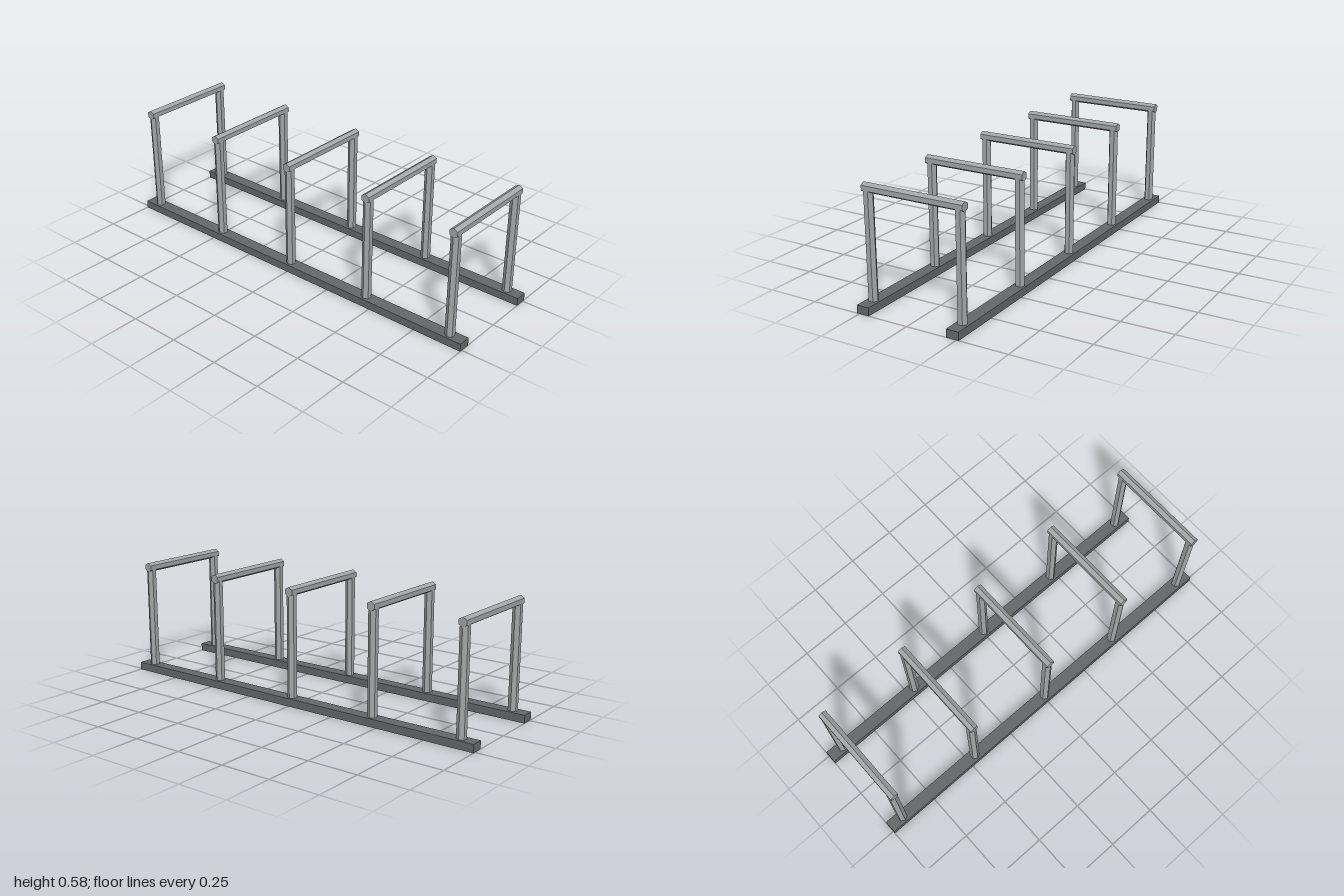
import * as THREE from 'three';

const RAIL = { length: 2, height: 0.039, depth: 0.062, z: 0.2315 };
const TUBE_R = 0.0232;
const TOP = 0.577;
const HOOP_COUNT = 5;
const HOOP_SPACING = 0.4615;

export function createModel() {
  const model = new THREE.Group();
  model.name = 'bikeRack';

  const railMat = new THREE.MeshStandardMaterial({ color: 0x66696c, flatShading: true });
  const tubeMat = new THREE.MeshStandardMaterial({ color: 0xa4a7aa, flatShading: true });

  const add = (parent, name, geometry, material, x, y, z) => {
    const mesh = new THREE.Mesh(geometry, material);
    mesh.name = name;
    mesh.position.set(x, y, z);
    parent.add(mesh);
  };

  // Hexagonal tubes: flats face +x and -x
  const barY = TOP - TUBE_R;
  const postBottom = 0.001;
  const postGeo = new THREE.CylinderGeometry(TUBE_R, TUBE_R, barY - postBottom, 6);
  const barGeo = new THREE.CylinderGeometry(TUBE_R, TUBE_R, 0.509, 6).rotateX(Math.PI / 2);
  const railGeo = new THREE.BoxGeometry(RAIL.length, RAIL.height, RAIL.depth);

  // Ground rails
  add(model, 'frontRail', railGeo, railMat, 0, RAIL.height / 2, RAIL.z);
  add(model, 'backRail', railGeo, railMat, 0, RAIL.height / 2, -RAIL.z);

  // Row of hoops, each with two posts and a crossbar
  for (let i = 0; i < HOOP_COUNT; i++) {
    const hoop = new THREE.Group();
    hoop.name = `hoop${i + 1}`;
    hoop.position.x = (i - (HOOP_COUNT - 1) / 2) * HOOP_SPACING;
    add(hoop, 'frontPost', postGeo, tubeMat, 0, (barY + postBottom) / 2, RAIL.z);
    add(hoop, 'backPost', postGeo, tubeMat, 0, (barY + postBottom) / 2, -RAIL.z);
    add(hoop, 'crossbar', barGeo, tubeMat, 0, barY, 0);
    model.add(hoop);
  }

  return model;
}
